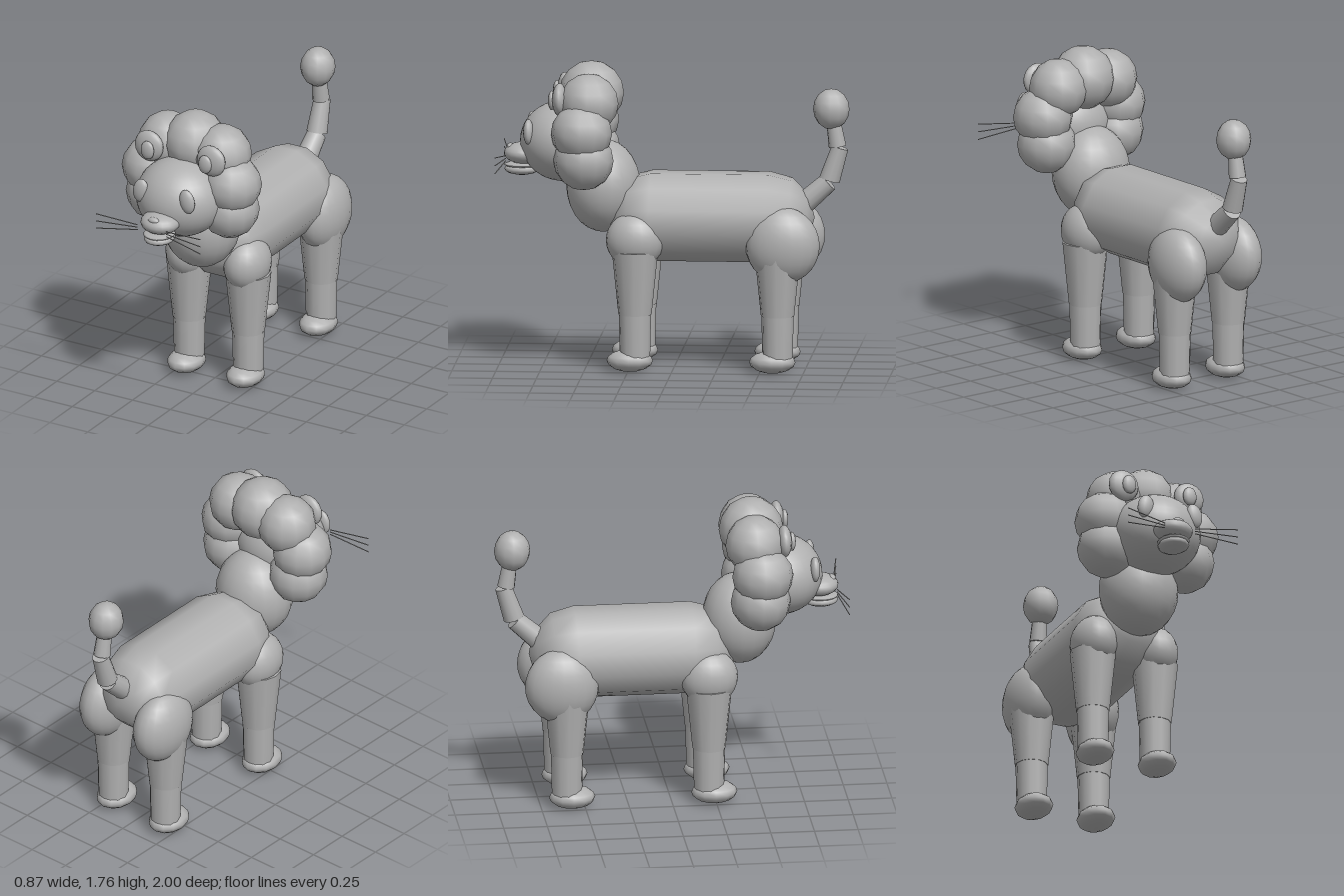
import * as THREE from 'three';

export function createModel() {
  const model = new THREE.Group();
  model.name = 'lion';
  const grey = new THREE.MeshStandardMaterial({ color: 0xb0b0b0 });
  grey.name = 'grey';

  const add = (name, geometry, parent = model) => {
    const mesh = new THREE.Mesh(geometry, grey);
    mesh.name = name;
    parent.add(mesh);
    return mesh;
  };

  // Ellipsoid from centre and three radii
  const ball = (name, pos, radii, w = 16, h = 12, parent = model) => {
    const mesh = add(name, new THREE.SphereGeometry(1, w, h), parent);
    mesh.position.set(...pos);
    mesh.scale.set(...radii);
    return mesh;
  };

  // Tapered cylinder from point a (radius ra) to point b (radius rb)
  const rod = (name, a, b, ra, rb, sides = 12, parent = model) => {
    const from = new THREE.Vector3(...a), to = new THREE.Vector3(...b);
    const dir = to.clone().sub(from);
    const mesh = add(name, new THREE.CylinderGeometry(rb, ra, dir.length(), sides), parent);
    mesh.position.copy(from).add(to).multiplyScalar(0.5);
    mesh.quaternion.setFromUnitVectors(new THREE.Vector3(0, 1, 0), dir.normalize());
    return mesh;
  };

  // Body: twelve-sided capsule lying along z, a flat facet underneath
  const bodyGeometry = new THREE.CapsuleGeometry(0.26, 0.67, 3, 12);
  bodyGeometry.rotateY(Math.PI / 12).rotateX(Math.PI / 2).scale(1.07, 1, 1);
  add('body', bodyGeometry).position.set(0, 0.87, -0.205);
  ball('neck', [0, 1.04, 0.405], [0.23, 0.265, 0.212], 20, 14);

  // Head and face
  const head = new THREE.Group();
  head.name = 'head';
  model.add(head);
  ball('skull', [0, 1.295, 0.63], [0.26, 0.23, 0.25], 32, 20, head);
  ball('muzzle', [0, 1.222, 0.86], [0.115, 0.062, 0.112], 20, 12, head);
  ball('lips', [0, 1.155, 0.87], [0.09, 0.018, 0.102], 16, 8, head);
  ball('jaw', [0, 1.13, 0.87], [0.088, 0.034, 0.1], 16, 8, head);
  ball('nose', [0, 1.258, 0.935], [0.036, 0.019, 0.022], 12, 8, head);

  // Mane: one top ball, the rest mirrored
  ball('maneTop', [0, 1.575, 0.472], [0.18, 0.182, 0.185], 12, 8, head);

  for (const s of [-1, 1]) {
    const side = s > 0 ? 'left' : 'right';
    ball(`${side}ManeUpper`, [s * 0.18, 1.54, 0.475], [0.17, 0.17, 0.17], 12, 8, head);
    ball(`${side}ManeMiddle`, [s * 0.265, 1.38, 0.51], [0.17, 0.168, 0.175], 12, 8, head);
    ball(`${side}ManeLower`, [s * 0.245, 1.22, 0.5], [0.17, 0.17, 0.172], 12, 8, head);
    ball(`${side}Ear`, [s * 0.205, 1.563, 0.64], [0.092, 0.093, 0.042], 16, 10, head);
    ball(`${side}InnerEar`, [s * 0.19, 1.555, 0.685], [0.043, 0.056, 0.022], 12, 8, head);
    ball(`${side}Eye`, [s * 0.153, 1.367, 0.822], [0.048, 0.072, 0.029], 16, 10, head).rotation.z = s * 0.18;
    for (const k of [-1, 0, 1]) {
      rod(`${side}Whisker`, [s * 0.095, 1.203 + k * 0.015, 0.955],
        [s * 0.345, 1.2 + k * 0.045, 0.997], 0.003, 0.003, 6, head);
    }

    // Legs: shoulder or hip, thigh, shin and paw
    const legs = [
      ['Front', 0.21, [s * 0.19, 0.755, 0.21], [0.13, 0.162, 0.166], 'Shoulder'],
      ['Back', -0.603, [s * 0.2, 0.738, -0.632], [0.135, 0.22, 0.212], 'Hip'],
    ];
    for (const [end, z, jointPos, jointRadii, joint] of legs) {
      const leg = new THREE.Group();
      leg.name = `${side}${end}Leg`;
      model.add(leg);
      const x = s * 0.195;
      ball(`${side}${joint}`, jointPos, jointRadii, 20, 14, leg);
      rod('thigh', [x, 0.33, z], [x, 0.695, z], 0.095, 0.132, 12, leg);
      rod('shin', [x, 0.06, z], [x, 0.33, z], 0.086, 0.092, 12, leg);
      ball('paw', [x, 0.064, z + 0.03], [0.105, 0.064, 0.132], 12, 8, leg);
    }
  }

  // Tail: three tapered joints and a tuft
  const tail = new THREE.Group();
  tail.name = 'tail';
  model.add(tail);
  rod('tailBase', [0, 0.925, -0.71], [0, 1.075, -0.88], 0.066, 0.056, 12, tail);
  rod('tailMiddle', [0, 1.088, -0.885], [0, 1.275, -0.945], 0.06, 0.048, 12, tail);
  rod('tailTop', [0, 1.28, -0.93], [0, 1.44, -0.905], 0.05, 0.04, 12, tail);
  ball('tuft', [0, 1.495, -0.895], [0.1, 0.117, 0.104], 12, 8, tail);

  return model;
}
